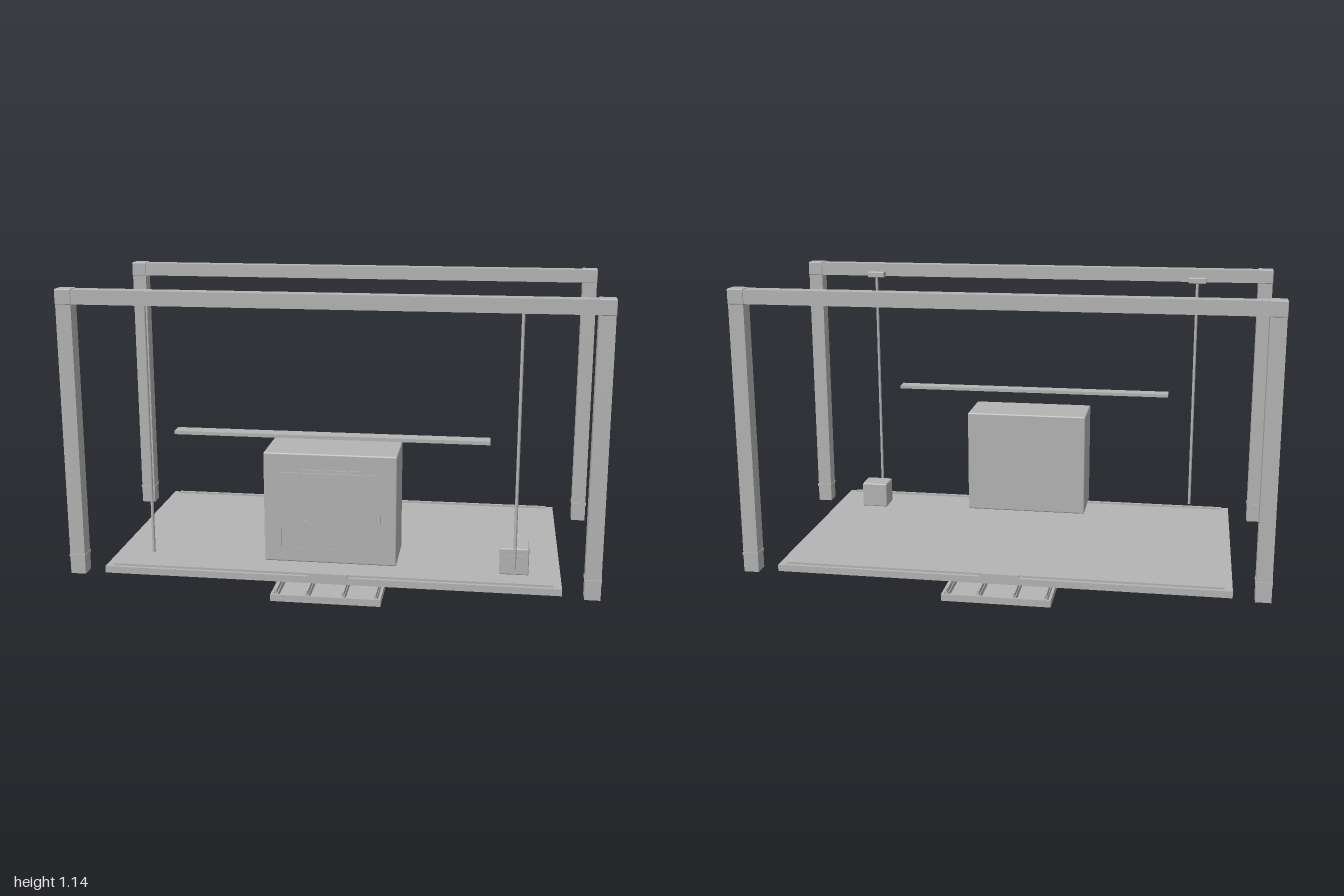
import * as THREE from 'three';
import { RoundedBoxGeometry } from 'three/addons/geometries/RoundedBoxGeometry.js';

export function createModel() {
  const model = new THREE.Group();
  const grey = new THREE.MeshStandardMaterial({ color: 0xb4b4b4 });
  grey.name = 'plain grey';

  const add = (name, geometry, x, y, z, parent = model) => {
    const mesh = new THREE.Mesh(geometry, grey);
    mesh.name = name;
    mesh.position.set(x, y, z);
    parent.add(mesh);
    return mesh;
  };
  // Box given by its limits along each axis
  const box = (name, [x0, x1], [y0, y1], [z0, z1], parent, radius = 0) => {
    const size = [x1 - x0, y1 - y0, z1 - z0];
    const geometry = radius
      ? new RoundedBoxGeometry(...size, 2, radius)
      : new THREE.BoxGeometry(...size);
    return add(name, geometry, (x0 + x1) / 2, (y0 + y1) / 2, (z0 + z1) / 2, parent);
  };
  const group = (name) => {
    const g = new THREE.Group();
    g.name = name;
    model.add(g);
    return g;
  };

  // Two gantry frames: posts, cross beam, corner caps and foot collars
  for (const s of [1, -1]) {
    const frame = group(s > 0 ? 'frontFrame' : 'backFrame');
    const z = s * 0.45;
    box('crossBeam', [-0.94, 0.94], [1.08, 1.133], [z - 0.029, z + 0.029], frame);
    for (const x of [-0.969, 0.969]) {
      box('post', [x - 0.029, x + 0.029], [0.04, 1.08], [z - 0.029, z + 0.029], frame);
      box('cornerCap', [x - 0.031, x + 0.031], [1.078, 1.136], [z - 0.031, z + 0.031], frame, 0.004);
      box('footCollar', [x - 0.031, x + 0.031], [0.108, 0.118], [z - 0.033, z + 0.033], frame);
    }
  }

  // Base platform with edge rails and pull handles
  box('platform', [-0.86, 0.86], [0.05, 0.076], [-0.48, 0.48]);
  for (const s of [1, -1]) {
    add('edgeRail', new THREE.BoxGeometry(1.66, 0.008, 0.012), 0, 0.08, s * 0.46);
    add('pullHandle', new THREE.BoxGeometry(0.15, 0.014, 0.012), 0, 0.082, s * 0.476);
  }

  // Sliding tray below the platform, open on top with ribs
  const tray = group('tray');
  box('trayFloor', [-0.205, 0.205], [0, 0.006], [-0.55, 0.55], tray);
  for (const x of [-0.2, 0.2]) {
    box('traySide', [x - 0.005, x + 0.005], [0.004, 0.026], [-0.55, 0.55], tray);
  }
  for (const x of [-0.185, -0.068, 0.065, 0.185]) {
    box('trayRib', [x - 0.005, x + 0.005], [0.005, 0.026], [-0.545, 0.545], tray);
    box('slideRail', [x - 0.004, x + 0.004], [0.03, 0.047], [-0.55, 0.55], tray);
    // Small rollers between rib and rail
    for (let i = -4; i <= 4; i++) {
      add('roller', new THREE.BoxGeometry(0.006, 0.006, 0.02), x, 0.028, i * 0.12, tray);
    }
  }
  for (const z of [-0.545, 0.545]) {
    box('trayEnd', [-0.205, 0.205], [0.004, 0.026], [z - 0.005, z + 0.005], tray);
  }

  // Large cabinet with front details
  const cabinet = group('cabinet');
  box('cabinetBody', [-0.25, 0.25], [0.11, 0.535], [0.2, 0.422], cabinet, 0.006);
  const front = [0.421, 0.427];
  box('frontGroove', [-0.19, 0.19], [0.456, 0.461], front, cabinet);
  box('frontHandle', [-0.11, 0.11], [0.463, 0.474], front, cabinet);
  for (const x of [-0.188, 0.188]) {
    box('sideTrim', [x - 0.003, x + 0.003], [0.17, 0.31], front, cabinet);
  }
  for (const y of [0.165, 0.275]) {
    for (const x of [-0.1, 0, 0.1]) {
      box('frontVent', [x - 0.02, x + 0.02], [y - 0.002, y + 0.002], [0.42, 0.424], cabinet);
    }
  }

  // Thin shelf above the cabinet
  box('shelf', [-0.585, 0.585], [0.593, 0.606], [0.367, 0.425]);

  // Hanging rods with brackets behind the front beam
  for (const x of [-0.69, 0.687]) {
    const hanger = group('hanger');
    add('rod', new THREE.CylinderGeometry(0.006, 0.006, 0.965, 12), x, 0.5975, 0.4, hanger);
    box('bracket', [x - 0.036, x + 0.036], [1.077, 1.1], [0.384, 0.422], hanger, 0.003);
  }

  // Small box on the platform with a framed front port
  const smallBox = group('smallBox');
  box('smallBoxBody', [0.632, 0.741], [0.076, 0.18], [0.265, 0.36], smallBox, 0.005);
  box('portTop', [0.655, 0.72], [0.148, 0.154], [0.359, 0.365], smallBox);
  for (const x of [0.658, 0.717]) {
    box('portSide', [x - 0.003, x + 0.003], [0.122, 0.15], [0.359, 0.365], smallBox);
  }

  return model;
}
